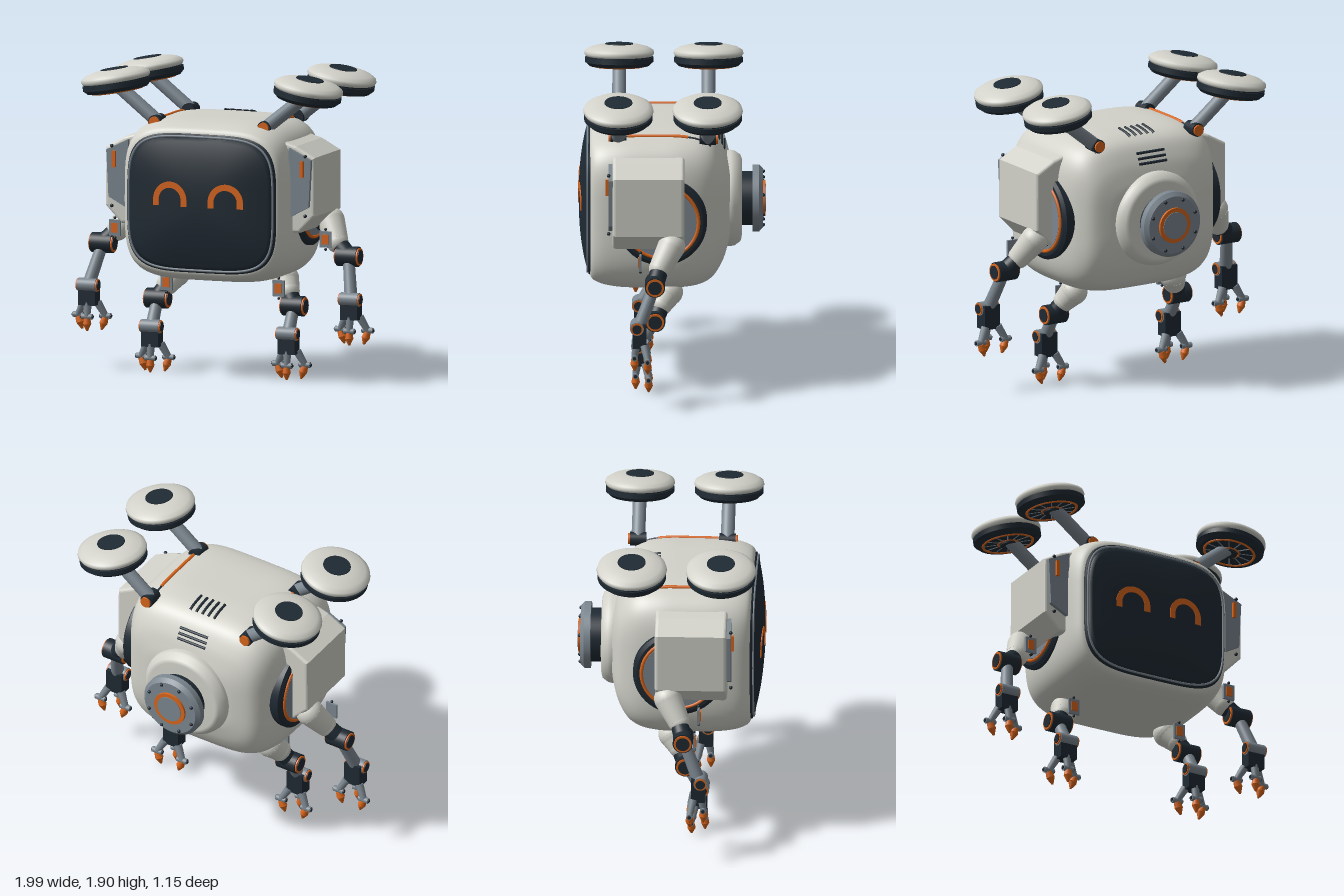
import * as THREE from 'three';

const mat = (name, color) => Object.assign(new THREE.MeshStandardMaterial({ color }), { name });
const V = (x, y, z) => new THREE.Vector3(x, y, z);

export function createModel() {
  const white = mat('shellWhite', 0xd2d2ca), dark = mat('darkNavy', 0x1f2a33);
  const grey = mat('metalGrey', 0x7c8790), orange = mat('accentOrange', 0xd9661c);
  const root = new THREE.Group();
  root.name = 'hoverRobot';
  let parent = root;
  const add = (name, geo, m) => {
    const mesh = new THREE.Mesh(geo, m);
    mesh.name = name;
    parent.add(mesh);
    return mesh;
  };
  const group = (name) => {
    parent = new THREE.Group();
    parent.name = name;
    root.add(parent);
    return parent;
  };
  // Tapered round bar from p to q
  const rod = (name, m, p, q, r1, r2 = r1, seg = 32) => {
    const d = q.clone().sub(p);
    const mesh = add(name, new THREE.CylinderGeometry(r2, r1, d.length(), seg), m);
    mesh.position.copy(p).addScaledVector(d, 0.5);
    mesh.quaternion.setFromUnitVectors(V(0, 1, 0), d.normalize());
    return mesh;
  };
  const box = (name, m, w, h, d, x, y, z) => {
    const mesh = add(name, new THREE.BoxGeometry(w, h, d), m);
    mesh.position.set(x, y, z);
    return mesh;
  };
  const ball = (name, m, r, p) => add(name, new THREE.SphereGeometry(r, 24, 16), m).position.copy(p);
  const ring = (name, m, r, t) => add(name, new THREE.TorusGeometry(r, t, 8, 48), m);
  const tube = (name, m, pts, r, closed = false) =>
    add(name, new THREE.TubeGeometry(new THREE.CatmullRomCurve3(pts, closed), closed ? 128 : 24, r, 8, closed), m);

  // Rounded-square cross-sections {x: half width, y: half height, z}, listed front to back
  const CY = 1.105, N = 4.2, SEG = 80;
  const superPoint = (hw, hh, z, a) => {
    const c = Math.cos(a), s = Math.sin(a);
    return V(hw * Math.sign(c) * Math.abs(c) ** (2 / N), CY + hh * Math.sign(s) * Math.abs(s) ** (2 / N), z);
  };
  const loft = (sections) => {
    const pos = [], idx = [];
    sections.forEach((p, i) => {
      for (let j = 0; j < SEG; j++) {
        pos.push(...superPoint(p.x, p.y, p.z, (j / SEG) * Math.PI * 2).toArray());
        if (i === sections.length - 1) continue;
        const a = i * SEG + j, b = i * SEG + (j + 1) % SEG;
        idx.push(a, a + SEG, b, b, a + SEG, b + SEG);
      }
    });
    const g = new THREE.BufferGeometry();
    g.setAttribute('position', new THREE.Float32BufferAttribute(pos, 3));
    g.setIndex(idx);
    g.computeVertexNormals();
    return g;
  };

  // Body shell
  const profile = new THREE.CatmullRomCurve3([
    [0.001, 0.001, 0.505], [0.44, 0.39, 0.505], [0.5, 0.45, 0.49], [0.53, 0.477, 0.44], [0.549, 0.498, 0.33],
    [0.553, 0.504, 0.1], [0.545, 0.501, -0.07], [0.52, 0.482, -0.18], [0.485, 0.442, -0.25],
    [0.43, 0.35, -0.31], [0.34, 0.25, -0.345], [0.25, 0.18, -0.36], [0.001, 0.001, -0.362],
  ].map((p) => V(...p))).getPoints(96);
  add('bodyShell', loft(profile), white);
  const topY = (x, z) => {
    const i = Math.max(9, profile.findIndex((p, k) => k > 8 && p.z <= z));
    const a = profile[i - 1], b = profile[i], t = (z - a.z) / (b.z - a.z);
    const hw = a.x + (b.x - a.x) * t, hh = a.y + (b.y - a.y) * t;
    return CY + hh * (1 - Math.abs(x / hw) ** N) ** (1 / N);
  };
  const topLine = (name, m, x, z0, z1, r) => tube(name, m, Array.from({ length: 9 }, (_, i) => {
    const z = z0 + (z1 - z0) * i / 8;
    return V(x, topY(x, z), z);
  }), r);

  // Face: dark rim, grey trim and domed screen
  group('face');
  add('screenRim', loft([V(0.001, 0.001, 0.514), V(0.47, 0.41, 0.514), V(0.487, 0.427, 0.508),
    V(0.494, 0.432, 0.49), V(0.485, 0.425, 0.46)]), dark);
  tube('screenTrim', grey, Array.from({ length: 96 }, (_, i) =>
    superPoint(0.475, 0.413, 0.515, (i / 96) * Math.PI * 2)), 0.007, true);
  const dome = (t) => 0.516 + 0.054 * (1 - t ** 2.4);
  const screen = Array.from({ length: 21 }, (_, i) => {
    const t = Math.max(0.001, i / 20);
    return V(0.467 * t, 0.405 * t, dome(t));
  });
  add('screen', loft([...screen, V(0.467, 0.405, 0.49)]), dark);
  for (const s of [-1, 1]) {
    const eye = new THREE.Shape();
    eye.moveTo(0.113, 0).lineTo(0.113, 0.037).absarc(0, 0.037, 0.113, 0, Math.PI, false);
    eye.lineTo(-0.113, 0).lineTo(-0.075, 0).lineTo(-0.075, 0.037).absarc(0, 0.037, 0.075, Math.PI, 0, true);
    eye.lineTo(0.075, 0);
    const g = new THREE.ExtrudeGeometry(eye, { depth: 0.008, bevelEnabled: false, curveSegments: 24 });
    g.translate(s * 0.183, 1.09, -0.003);
    const p = g.attributes.position;
    for (let i = 0; i < p.count; i++) {
      const t = (Math.abs(p.getX(i) / 0.467) ** N + Math.abs((p.getY(i) - CY) / 0.405) ** N) ** (1 / N);
      p.setZ(i, p.getZ(i) + dome(t));
    }
    add('smilingEye', g, orange);
  }

  // Vents
  group('vents');
  for (let i = -2; i <= 2; i++) topLine('topVentSlot', dark, i * 0.043, -0.2, -0.07, 0.009);
  for (const z of [-0.288, -0.305, -0.319]) {
    const y = topY(0, z);
    rod('backVentSlot', dark, V(-0.1, y, z), V(0.1, y, z), 0.009, 0.009, 8);
  }

  // Rear thruster
  group('rearThruster');
  const collar = [[0.29, 0.28], [0.295, 0.36], [0.29, 0.385], [0.265, 0.42], [0.24, 0.428], [0.001, 0.43]];
  add('thrusterCollar', new THREE.LatheGeometry(collar.map((p) => new THREE.Vector2(...p)), 64)
    .rotateX(-Math.PI / 2).translate(0, 1.09, 0), white);
  const back = (name, m, z0, z1, r1, r2) => rod(name, m, V(0, 1.09, z0), V(0, 1.09, z1), r1, r2, 48);
  back('thrusterNeck', dark, -0.42, -0.5, 0.165);
  back('thrusterFlange', grey, -0.495, -0.535, 0.205);
  back('thrusterFace', grey, -0.535, -0.558, 0.205, 0.18);
  back('thrusterRing', orange, -0.55, -0.572, 0.11);
  back('thrusterCore', grey, -0.56, -0.576, 0.085);
  for (let i = 0; i < 8; i++) {
    const a = (i + 0.5) * Math.PI / 4;
    ball('thrusterBolt', dark, 0.011, V(Math.cos(a) * 0.165, 1.09 + Math.sin(a) * 0.165, -0.56));
  }

  // Joint barrel across x with orange end rings
  const joint = (p, r, half, m) => {
    const dx = V(1, 0, 0);
    const at = (k) => p.clone().addScaledVector(dx, k);
    rod('jointBarrel', m, at(-half), at(half), r);
    for (const e of [-1, 1]) {
      rod('jointRing', orange, at(e * half), at(e * (half + 0.008)), r * 0.88);
      rod('jointCap', dark, at(e * half), at(e * (half + 0.012)), r * 0.68);
    }
  };
  // Three-fingered gripper
  const gripper = (o) => {
    const at = (x, y, z) => o.clone().add(V(x, y, z));
    box('palm', dark, 0.112, 0.15, 0.085, o.x, o.y + 0.145, o.z);
    joint(at(0, 0.195, 0.015), 0.042, 0.06, grey);
    for (const [dx, dz] of [[-0.09, -0.05], [0, 0.03], [0.09, -0.05]]) {
      rod('finger', grey, at(dx * 0.5, 0.085, dz * 0.6), at(dx, 0, dz), 0.026, 0.02, 12);
      rod('knuckle', grey, at(dx - 0.034, 0, dz), at(dx + 0.034, 0, dz), 0.018, 0.018, 16);
      rod('knucklePin', dark, at(dx - 0.04, 0, dz), at(dx + 0.04, 0, dz), 0.011, 0.011, 12);
      rod('claw', orange, at(dx, -0.01, dz), at(dx * 0.85, -0.045, dz), 0.02, 0.026, 12);
      rod('clawTip', orange, at(dx * 0.85, -0.045, dz), at(dx * 0.7, -0.088, dz), 0.026, 0.006, 12);
    }
  };
  // Shell-covered upper segment, joint, rod and gripper
  const limb = (name, base, a, b, bend, hand, plate) => {
    group(name);
    rod('socket', dark, base, a, 0.07, 0.06);
    ball('upperCap', white, 0.085, a);
    rod('upperShell', white, a, b, 0.085, 0.068);
    ball('lowerCap', white, 0.068, b);
    rod('jointNeck', dark, b, bend, 0.055);
    joint(bend, 0.062, 0.068, dark);
    rod('lowerRod', grey, bend, hand.clone().add(V(0, 0.2, 0)), 0.036, 0.04);
    gripper(hand);
    box('badgePlate', grey, 0.075, 0.1, 0.014, plate.x, plate.y, plate.z);
    box('badgeAccent', orange, 0.042, 0.06, 0.008, plate.x, plate.y, plate.z + 0.01);
    for (const e of [-1, 1]) ball('badgeBolt', dark, 0.009, plate.clone().add(V(0, e * 0.062, 0)));
  };

  for (const s of [-1, 1]) {
    const side = s > 0 ? 'left' : 'right';
    // Shoulder disc and side pod
    group(side + 'Shoulder');
    const disc = (name, m, x0, x1, r1, r2) => rod(name, m, V(s * x0, 1.1, 0.06), V(s * x1, 1.1, 0.06), r1, r2, 64);
    disc('shoulderDisc', dark, 0.44, 0.56, 0.278);
    disc('shoulderBevel', dark, 0.56, 0.575, 0.278, 0.255);
    disc('shoulderPlate', grey, 0.56, 0.582, 0.215);
    const band = ring('shoulderRing', orange, 0.226, 0.011);
    band.rotation.y = Math.PI / 2;
    band.position.set(s * 0.575, 1.1, 0.06);
    const poly = (pts) => new THREE.Shape(pts.map(([x, y]) => new THREE.Vector2(s * x, y)));
    const pod = new THREE.ExtrudeGeometry(
      poly([[0.46, 1.485], [0.56, 1.452], [0.67, 1.392], [0.672, 1.05], [0.58, 0.955], [0.46, 0.955]]),
      { depth: 0.4, bevelThickness: 0.02, bevelSize: 0.02, bevelSegments: 4 });
    add('sidePod', pod.translate(0, 0, -0.06), white);
    const panel = new THREE.ExtrudeGeometry(poly([[0.53, 1.46], [0.675, 1.39], [0.66, 1.1], [0.53, 1.03]]),
      { depth: 0.03, bevelEnabled: false });
    add('podPanel', panel.translate(0, 0, 0.355), grey);
    box('podLight', orange, 0.02, 0.1, 0.02, s * 0.62, 1.335, 0.395);
    for (const y of [1.415, 1.045]) ball('podBolt', dark, 0.011, V(s * 0.638, y, 0.385));

    // Arms and legs
    limb(side + 'Arm', V(s * 0.5, 0.98, 0.02), V(s * 0.655, 0.97, 0), V(s * 0.725, 0.85, 0.07),
      V(s * 0.81, 0.77, 0.1), V(s * 0.865, 0.325, 0.195), V(s * 0.695, 0.88, 0.19));
    limb(side + 'Leg', V(s * 0.34, 0.7, -0.02), V(s * 0.36, 0.595, 0.015), V(s * 0.4, 0.53, 0.06),
      V(s * 0.45, 0.445, 0.1), V(s * 0.45, 0.09, 0.19), V(s * 0.37, 0.555, 0.15));

    // Roof rail between the rotor mounts
    group(side + 'RoofRail');
    topLine('railSeam', dark, s * 0.36, -0.24, 0.38, 0.007);
    topLine('railAccent', orange, s * 0.36, -0.1, 0.27, 0.012);

    // Rotors
    for (const [z, end] of [[0.325, 1], [-0.222, -1]]) {
      const name = side + (end > 0 ? 'Front' : 'Rear');
      group(name + 'Strut');
      const foot = V(s * 0.36, 1.575, z), hub = V(s * 0.625, 1.785, z);
      rod('mountBarrel', dark, V(foot.x, foot.y, z - 0.05), V(foot.x, foot.y, z + 0.05), 0.042);
      rod('mountCap', orange, V(foot.x, foot.y, z + end * 0.05), V(foot.x, foot.y, z + end * 0.062), 0.034);
      rod('strut', grey, foot, hub, 0.042);

      const rotor = group(name + 'Rotor');
      rotor.position.set(s * 0.635, 1.82, z);
      rotor.rotation.z = -s * 0.175;
      const cap = [[0.17, -0.01], [0.205, -0.008], [0.215, 0.008], [0.21, 0.026], [0.18, 0.045], [0.13, 0.058],
        [0.085, 0.064], [0.001, 0.065]];
      add('rotorCap', new THREE.LatheGeometry(cap.map((p) => new THREE.Vector2(...p)), 64), white);
      rod('rotorTopHatch', dark, V(0, 0.055, 0), V(0, 0.068, 0), 0.088, 0.085, 48);
      rod('rotorGroove', dark, V(0, -0.02, 0), V(0, 0, 0), 0.2, 0.2, 64);
      rod('rotorBand', dark, V(0, -0.045, 0), V(0, -0.016, 0), 0.21, 0.21, 64);
      rod('rotorBase', dark, V(0, -0.068, 0), V(0, -0.045, 0), 0.185, 0.208, 64);
      for (const [r, t] of [[0.155, 0.008], [0.06, 0.006]]) {
        const o = ring('rotorRing', orange, r, t);
        o.rotation.x = Math.PI / 2;
        o.position.y = -0.068;
      }
      for (let i = 0; i < 12; i++) {
        const a = i * Math.PI / 6, c = Math.cos(a), n = Math.sin(a);
        rod('rotorSpoke', grey, V(c * 0.06, -0.068, n * 0.06), V(c * 0.15, -0.068, n * 0.15), 0.004, 0.004, 6);
      }
      rod('rotorHub', dark, V(0, -0.08, 0), V(0, -0.06, 0), 0.05);
    }
  }
  return root;
}
